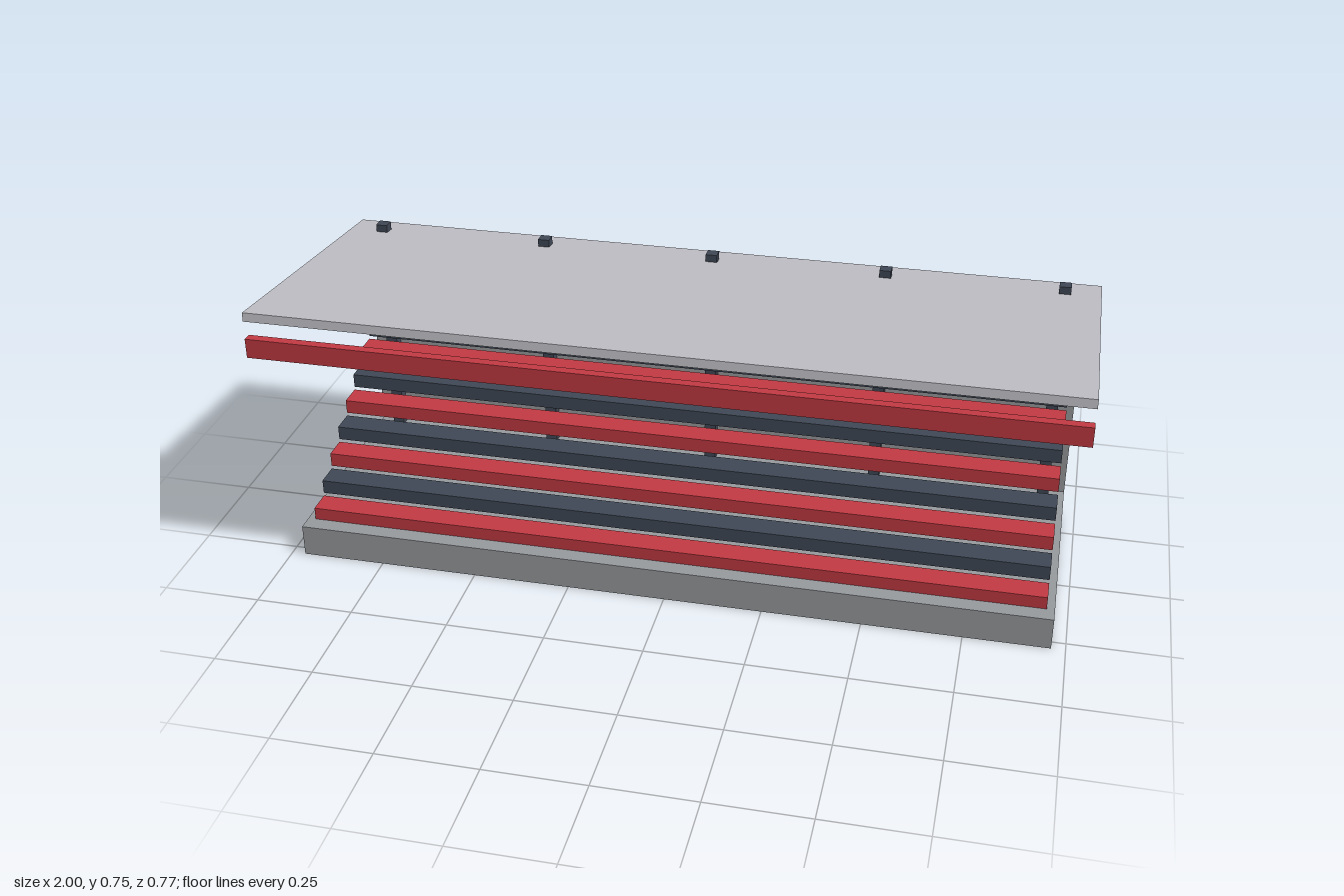
import * as THREE from 'three';

const material = (name, color) => {
  const m = new THREE.MeshStandardMaterial({ color });
  m.name = name;
  return m;
};

export function createModel() {
  const concrete = material('concrete', 0x979a9e);
  const roofMetal = material('roofMetal', 0xbfbfc5);
  const red = material('red', 0xc23a42);
  const slate = material('slate', 0x404856);

  const group = new THREE.Group();
  group.name = 'grandstand';

  const box = (name, mat, size, position) => {
    const mesh = new THREE.Mesh(new THREE.BoxGeometry(...size), mat);
    mesh.name = name;
    mesh.position.set(...position);
    group.add(mesh);
    return mesh;
  };

  // Foundation slab and rear wall
  box('base', concrete, [1.93, 0.084, 0.621], [0, 0.042, -0.0335]);
  box('backWall', concrete, [1.93, 0.605, 0.026], [0, 0.3325, -0.337]);

  // Stepped rows of benches in alternating colours
  for (let i = 0; i < 8; i++) {
    box(`bench${i + 1}`, i % 2 ? slate : red, [1.89, 0.037, 0.064],
      [0, 0.0985 + i * 0.0448, 0.202 - i * 0.0657]);
  }

  // Posts rising through the roof
  for (let i = -2; i <= 2; i++) {
    box(`post${i + 3}`, slate, [0.03, 0.616, 0.03], [i * 0.4545, 0.39, -0.309]);
  }

  // Roof sloping down to the back, with a fascia board under its front edge
  const roof = box('roof', roofMetal, [2, 0.0225, 0.77], [0, 0.698, 0]);
  roof.rotation.x = -0.105;
  box('fascia', red, [2, 0.05, 0.024], [0, 0.656, 0.374]);

  return group;
}
